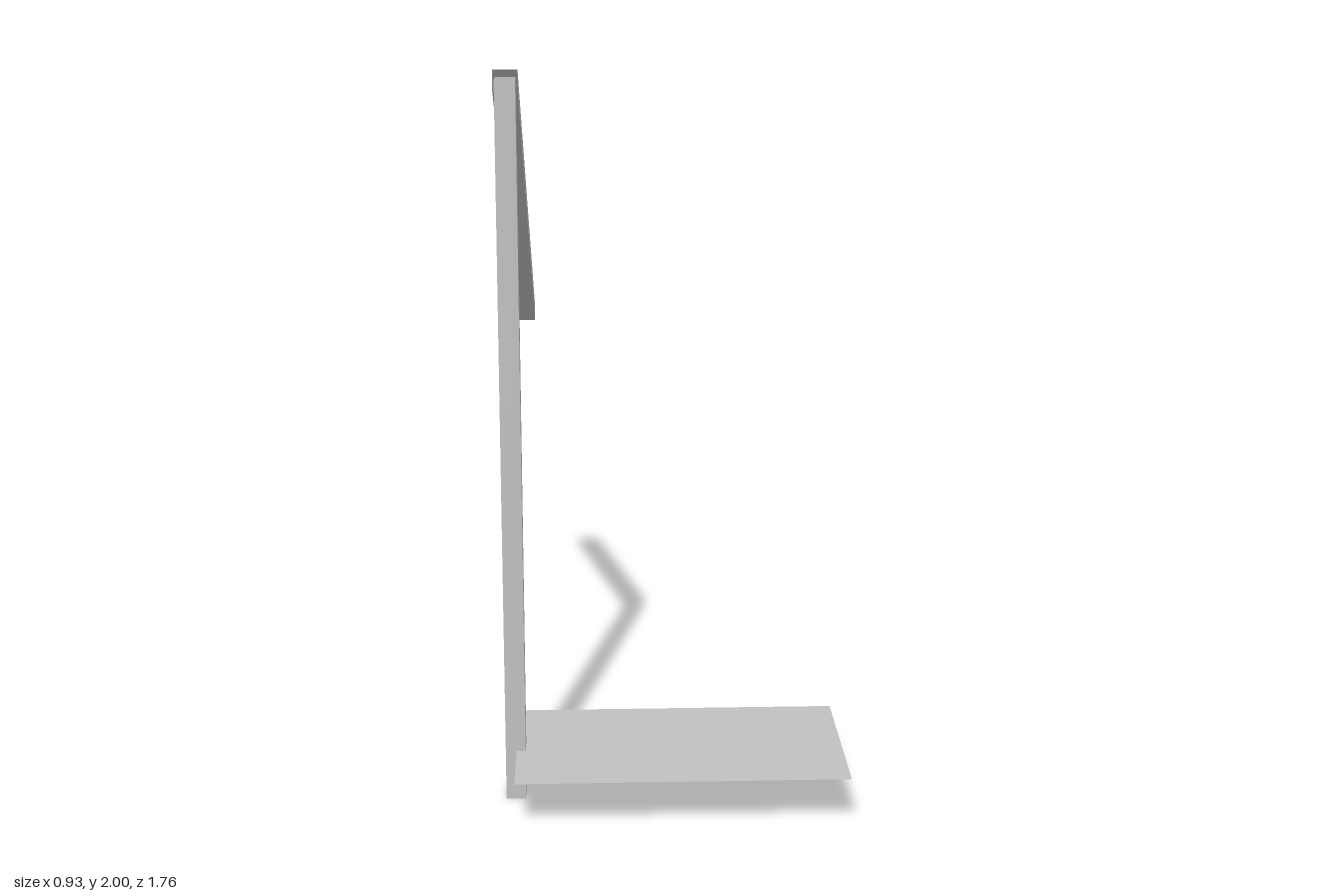
import * as THREE from 'three';

// Open four-sided tube between two rings of corners, faces outward
function openTube(ringA, ringB) {
  const pos = [];
  for (let i = 0; i < 4; i++) {
    const j = (i + 1) % 4;
    pos.push(...ringA[i], ...ringA[j], ...ringB[j]);
    pos.push(...ringA[i], ...ringB[j], ...ringB[i]);
  }
  const geo = new THREE.BufferGeometry();
  geo.setAttribute('position', new THREE.Float32BufferAttribute(pos, 3));
  geo.computeVertexNormals();
  return geo;
}

export function createModel() {
  const model = new THREE.Group();
  const metal = new THREE.MeshStandardMaterial({ color: 0xc0c0c0, side: THREE.DoubleSide });
  metal.name = 'light grey metal';

  const add = (name, geo) => {
    const mesh = new THREE.Mesh(geo, metal);
    mesh.name = name;
    model.add(mesh);
    return mesh;
  };

  // Upright hollow post, open at both ends
  const postRing = (y) => [
    [-0.465, y, 0.655], [-0.41, y, 0.655], [-0.41, y, 0.595], [-0.465, y, 0.595],
  ];
  add('post', openTube(postRing(0), postRing(1.98)));

  // Sloping hollow beam: square-cut upper end, plumb-cut lower end
  const beamRing = (zTop, yTop, zBottom, yBottom) => [
    [-0.47, yBottom, zBottom], [-0.405, yBottom, zBottom],
    [-0.405, yTop, zTop], [-0.47, yTop, zTop],
  ];
  add('beam', openTube(
    beamRing(-0.885, 1.11, -0.885, 1.045),
    beamRing(0.605, 2, 0.636, 1.951),
  ).scale(1, 1, 1));

  // Thin flat base plate, and the small square mark on it
  const flat = (name, w, d, x, y, z) => {
    const mesh = add(name, new THREE.PlaneGeometry(w, d).rotateX(-Math.PI / 2));
    mesh.position.set(x, y, z);
  };
  flat('basePlate', 0.9, 0.525, 0.015, 0.14, 0.617);
  flat('squareMark', 0.015, 0.015, -0.355, 0.143, 0.47);

  // Turn any inward-wound tube walls to face out
  const beam = model.getObjectByName('beam').geometry;
  const p = beam.attributes.position;
  for (let i = 0; i < p.count; i += 3) {
    const b = [p.getX(i + 1), p.getY(i + 1), p.getZ(i + 1)];
    p.setXYZ(i + 1, p.getX(i + 2), p.getY(i + 2), p.getZ(i + 2));
    p.setXYZ(i + 2, ...b);
  }
  beam.computeVertexNormals();

  return model;
}
